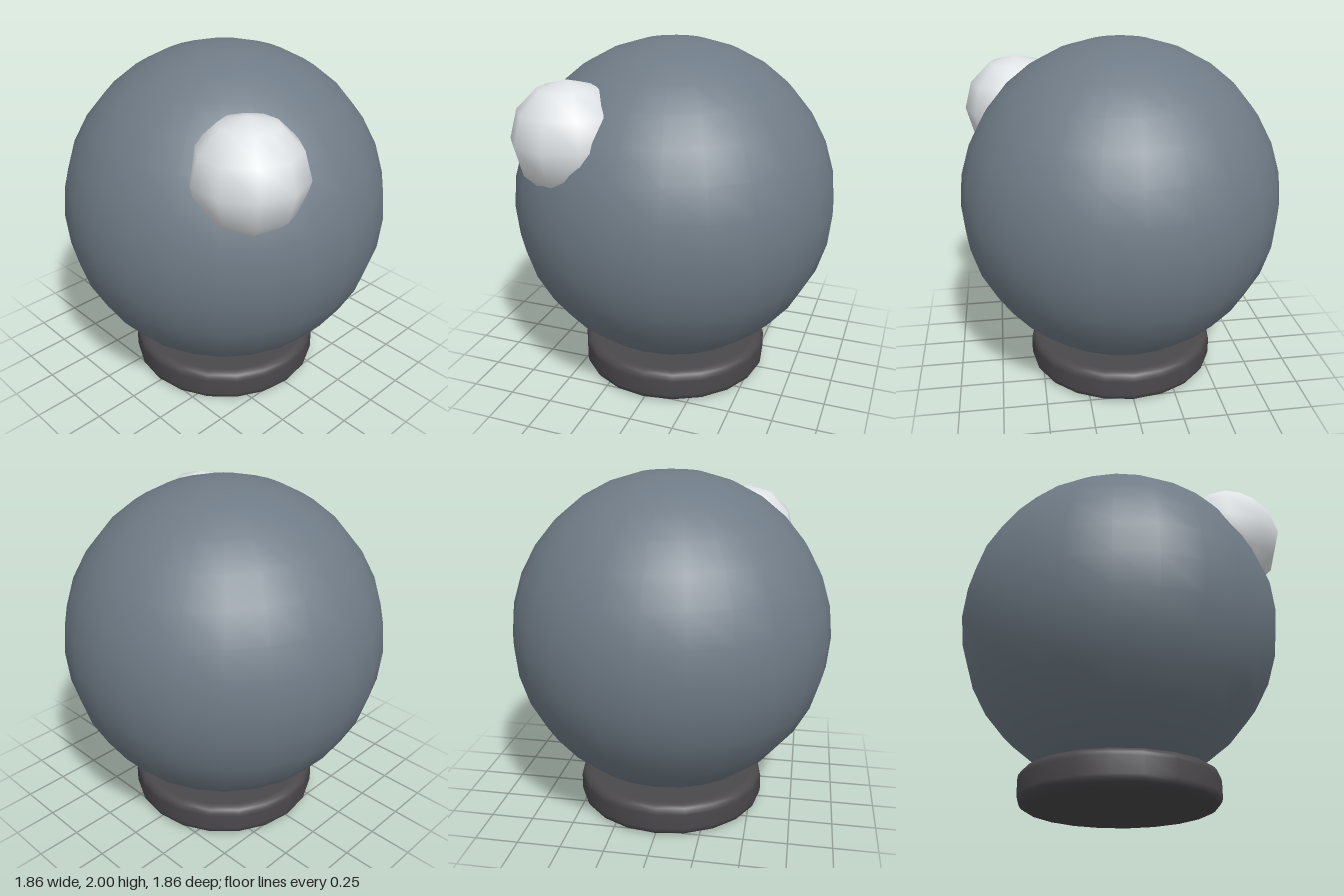
import * as THREE from 'three';

const material = (name, color) => {
  const m = new THREE.MeshStandardMaterial({ color });
  m.name = name;
  return m;
};

export function createModel() {
  const slate = material('slate blue grey', 0x6f7b86);
  const charcoal = material('charcoal', 0x4a484b);
  const paleGrey = material('pale grey', 0xdfe3e6);

  const model = new THREE.Group();
  const add = (name, geometry, mat, x, y, z) => {
    const mesh = new THREE.Mesh(geometry, mat);
    mesh.name = name;
    mesh.position.set(x, y, z);
    model.add(mesh);
    return mesh;
  };

  // Large ball
  add('ball', new THREE.SphereGeometry(0.93, 24, 16), slate, 0, 1.07, 0);

  // Small highlight ball half sunk into the upper front
  const highlight = add('highlight', new THREE.SphereGeometry(0.31, 10, 6), paleGrey, -0.38, 1.54, 0.57);
  highlight.rotation.y = Math.PI / 2;

  // Round foot with softened rims
  const radius = 0.56, height = 0.19, bevel = 0.05;
  const profile = [new THREE.Vector2(0, 0), new THREE.Vector2(radius - bevel - 0.01, 0)];
  for (const [cy, start] of [[bevel, -Math.PI / 2], [height - bevel, 0]]) {
    for (let i = 0; i <= 4; i++) {
      const a = start + (i / 4) * Math.PI / 2;
      profile.push(new THREE.Vector2(radius - bevel + bevel * Math.cos(a), cy + bevel * Math.sin(a)));
    }
  }
  profile.push(new THREE.Vector2(radius - bevel - 0.01, height), new THREE.Vector2(0, height));
  add('base', new THREE.LatheGeometry(profile, 20), charcoal, 0, 0, 0);

  return model;
}
